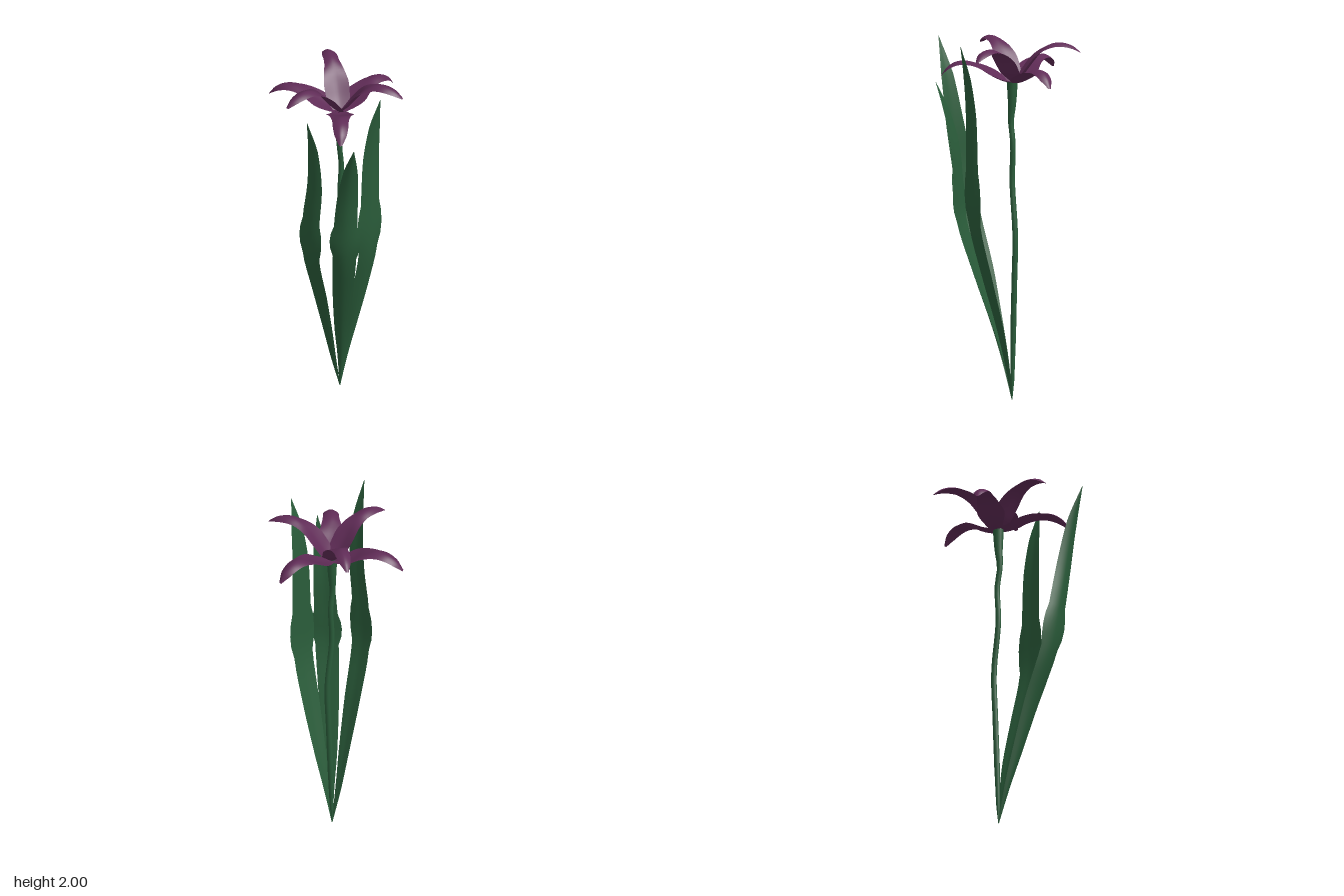
import * as THREE from 'three';

const V = (x, y, z) => new THREE.Vector3(x, y, z);
const GREEN = new THREE.MeshStandardMaterial({ color: 0x2a5c3a, side: THREE.DoubleSide });
const PURPLE = new THREE.MeshStandardMaterial({ color: 0x602c57, side: THREE.DoubleSide });

// Thin lens-shaped blade swept along points; each row of shape is [half width, edge lift, thickness]
function blade(points, shape, side, steps, across) {
  const path = new THREE.CatmullRomCurve3(points);
  const form = new THREE.CatmullRomCurve3(shape.map((s) => V(...s)));
  const ring = 2 * (across + 1);
  const pos = [];
  const index = [];
  for (let i = 0; i <= steps; i++) {
    const t = i / steps;
    const p = path.getPoint(t);
    const f = form.getPoint(t);
    const normal = path.getTangent(t).cross(side).normalize();
    for (let j = 0; j < ring; j++) {
      const top = j <= across;
      const k = top ? j : ring - 1 - j;
      const u = (2 * k) / across - 1;
      // central groove on top, matching keel below
      const lift = f.y * Math.abs(u) ** 1.5 + (top ? 0.5 : -0.5) * f.z * (1 - u * u);
      const v = p.clone().addScaledVector(side, u * Math.max(f.x, 0)).addScaledVector(normal, lift);
      pos.push(v.x, v.y, v.z);
      if (i < steps && j < ring - 1 && j !== across) {
        const a = i * ring + j;
        const b = a + ring;
        index.push(a, b, a + 1, b, b + 1, a + 1);
      }
    }
  }
  const g = new THREE.BufferGeometry();
  g.setAttribute('position', new THREE.Float32BufferAttribute(pos, 3));
  g.setIndex(index);
  g.computeVertexNormals();
  return g;
}

function add(group, name, geometry, material) {
  const mesh = new THREE.Mesh(geometry, material);
  mesh.name = name;
  group.add(mesh);
}

// Stem: slightly crooked tube, pointed at the foot and flared under the flower
function stemGeometry() {
  const path = new THREE.CatmullRomCurve3([
    V(0.02, 0, 0), V(0.03, 0.3, 0), V(0.045, 0.65, 0), V(0.055, 0.92, 0), V(0.022, 1.22, 0),
    V(0.03, 1.43, 0), V(0.014, 1.55, 0.004), V(0.02, 1.65, 0), V(0.022, 1.78, 0),
  ]);
  const stops = [[0, 0.002], [0.06, 0.011], [0.2, 0.016], [0.86, 0.015], [0.93, 0.023], [1, 0.031]];
  const radius = (t) => {
    let i = 1;
    while (i < stops.length - 1 && t > stops[i][0]) i++;
    const [[t0, r0], [t1, r1]] = [stops[i - 1], stops[i]];
    return THREE.MathUtils.mapLinear(t, t0, t1, r0, r1);
  };
  const rings = 36, sides = 10;
  const g = new THREE.TubeGeometry(path, rings, 1, sides);
  const v = V(0, 0, 0);
  for (let k = 0; k < g.attributes.position.count; k++) {
    const t = Math.floor(k / (sides + 1)) / rings;
    const c = path.getPointAt(t);
    v.fromBufferAttribute(g.attributes.position, k).sub(c).multiplyScalar(radius(t)).add(c);
    g.attributes.position.setXYZ(k, v.x, v.y, v.z);
  }
  g.computeVertexNormals();
  return g;
}

// Leaves: centre lines from the foot to the tip, and the direction of their width
const LEAVES = [
  {
    name: 'frontLeaf', side: V(1, 0, 0),
    line: [[0.02, 0, 0], [0.025, 0.2, 0.04], [0.03, 0.4, 0.09], [0.025, 0.7, 0.175], [0.02, 1, 0.25],
      [0.02, 1.3, 0.265], [0.022, 1.6, 0.272], [0.025, 1.82, 0.295], [0.028, 2, 0.33]],
  },
  {
    name: 'middleLeaf', side: V(0.6, 0, 0.8),
    line: [[0.02, 0, 0], [0, 0.2, 0.035], [-0.04, 0.4, 0.08], [-0.1, 0.7, 0.16], [-0.152, 1, 0.235],
      [-0.157, 1.2, 0.25], [-0.158, 1.4, 0.268], [-0.17, 1.6, 0.31], [-0.19, 1.77, 0.362]],
  },
  {
    name: 'rightLeaf', side: V(0.05, 0, 1).normalize(),
    line: [[0.02, 0, 0], [-0.04, 0.2, 0.01], [-0.1, 0.4, 0.03], [-0.19, 0.7, 0.06], [-0.285, 1, 0.098],
      [-0.312, 1.25, 0.13], [-0.322, 1.5, 0.172], [-0.355, 1.77, 0.2], [-0.408, 1.98, 0.22]],
  },
];
const LEAF_SHAPE = [[0.003, 0, 0.004], [0.022, 0.006, 0.012], [0.038, 0.01, 0.015], [0.057, 0.012, 0.016],
  [0.066, 0.012, 0.016], [0.066, 0.012, 0.016], [0.058, 0.012, 0.014], [0.039, 0.008, 0.01], [0.001, 0, 0.002]];

// Petals: [radius, height] along the middle, with the tips bending down
const LOW = {
  line: [[0, 1.768], [0.06, 1.782], [0.12, 1.812], [0.18, 1.85], [0.24, 1.875], [0.3, 1.872], [0.35, 1.842], [0.385, 1.795]],
  shape: [[0.03, 0.004, 0.008], [0.055, 0.01, 0.01], [0.077, 0.012, 0.01], [0.06, 0.004, 0.01],
    [0.046, -0.01, 0.01], [0.043, -0.013, 0.01], [0.034, -0.01, 0.008], [0.008, 0, 0.003]],
};
const HIGH = {
  line: [[0.005, 1.77], [0.05, 1.815], [0.1, 1.88], [0.15, 1.94], [0.21, 1.978], [0.27, 1.985], [0.33, 1.968], [0.375, 1.935]],
  shape: [[0.035, 0.008, 0.008], [0.065, 0.016, 0.01], [0.07, 0.016, 0.01], [0.056, 0.004, 0.01],
    [0.042, -0.01, 0.01], [0.04, -0.012, 0.01], [0.03, -0.009, 0.008], [0.008, 0, 0.003]],
};
// [whorl, angle from +x towards +z in degrees, length factor]
const PETALS = [[LOW, -1, 1], [LOW, 130, 1.05], [LOW, 241, 1.07], [HIGH, 63, 0.99], [HIGH, 181, 1], [HIGH, 298, 0.97]];

export function createModel() {
  const model = new THREE.Group();
  model.name = 'flowerPlant';

  add(model, 'stem', stemGeometry(), GREEN);
  for (const { name, side, line } of LEAVES) {
    add(model, name, blade(line.map((p) => V(...p)), LEAF_SHAPE, side, 32, 8), GREEN);
  }

  const flower = new THREE.Group();
  flower.name = 'flower';
  for (const [whorl, degrees, length] of PETALS) {
    const a = THREE.MathUtils.degToRad(degrees);
    const line = whorl.line.map(([r, y]) => V(0.027 + Math.cos(a) * r * length, y, -0.008 + Math.sin(a) * r * length));
    const side = V(Math.sin(a), 0, -Math.cos(a));
    add(flower, whorl === LOW ? 'outerPetal' : 'innerPetal', blade(line, whorl.shape, side, 28, 10), PURPLE);
  }
  model.add(flower);
  return model;
}
